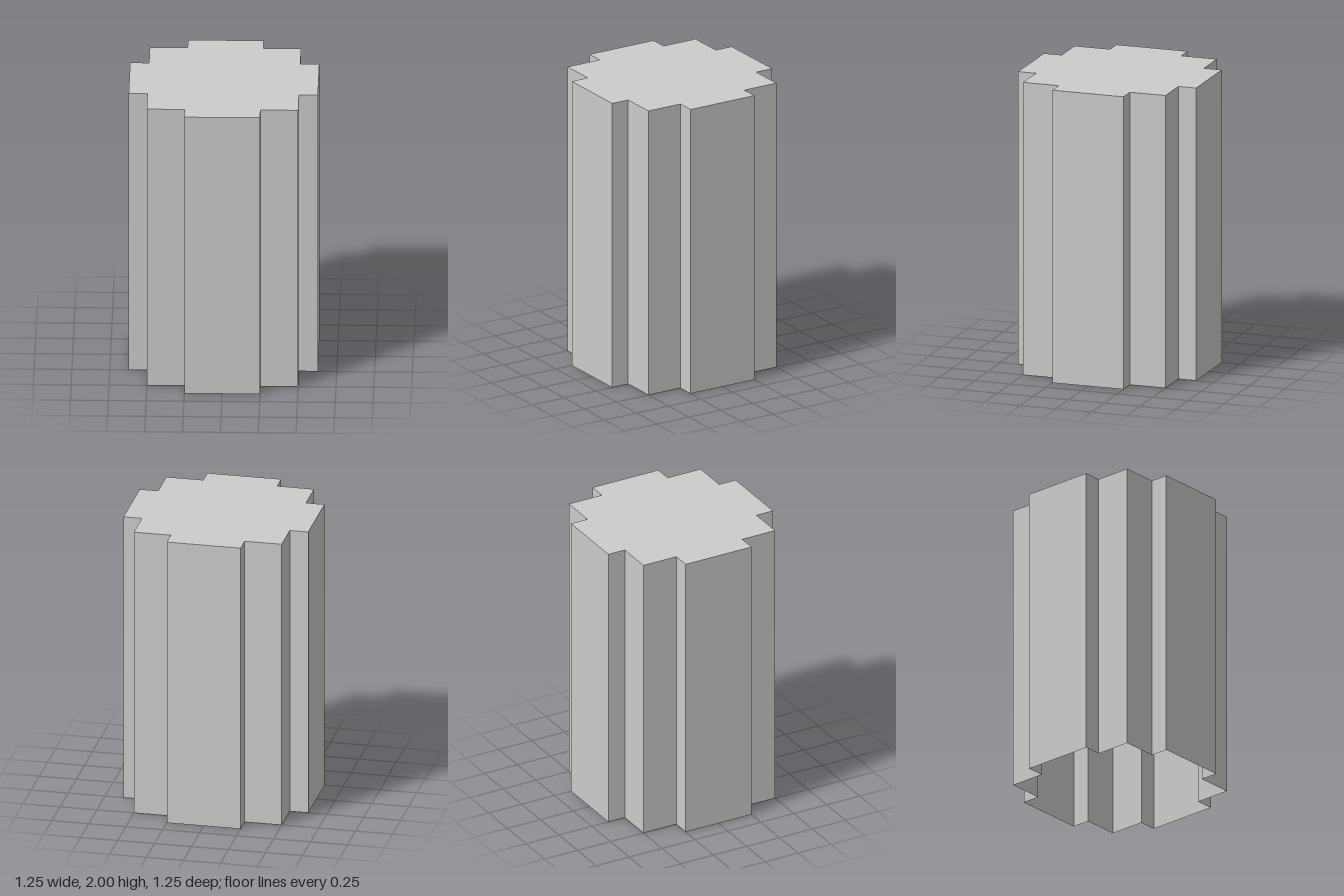
import * as THREE from 'three';

const HEIGHT = 2;

// Stepped plus-shaped outline: one quadrant turned four times, counter-clockwise
function outline() {
  const quadrant = [[0.625, 0.25], [0.5, 0.25], [0.5, 0.5], [0.25, 0.5], [0.25, 0.625]];
  const points = [];
  for (let q = 0; q < 4; q++) {
    for (const [x, y] of quadrant) {
      points.push(new THREE.Vector2(x, y).rotateAround(new THREE.Vector2(), q * Math.PI / 2));
    }
  }
  return points;
}

// One upright quad per outline edge, facing outward
function wallGeometry(points) {
  const positions = [];
  points.forEach((a, i) => {
    const b = points[(i + 1) % points.length];
    const corner = (p, y) => [p.x, y, -p.y];
    const [a0, b0, b1, a1] = [corner(a, 0), corner(b, 0), corner(b, HEIGHT), corner(a, HEIGHT)];
    positions.push(...a0, ...b0, ...b1, ...a0, ...b1, ...a1);
  });
  const geometry = new THREE.BufferGeometry();
  geometry.setAttribute('position', new THREE.Float32BufferAttribute(positions, 3));
  geometry.computeVertexNormals();
  return geometry;
}

export function createModel() {
  const group = new THREE.Group();
  group.name = 'steppedColumn';
  const material = new THREE.MeshStandardMaterial({
    color: 0xcccccc, flatShading: true, side: THREE.DoubleSide,
  });
  const points = outline();

  // Thin walls, open at the bottom
  const walls = new THREE.Mesh(wallGeometry(points), material);
  walls.name = 'walls';

  // Flat lid closing the top
  const lidGeometry = new THREE.ShapeGeometry(new THREE.Shape(points));
  lidGeometry.rotateX(-Math.PI / 2).translate(0, HEIGHT, 0);
  const lid = new THREE.Mesh(lidGeometry, material);
  lid.name = 'topCap';

  group.add(walls, lid);
  return group;
}
